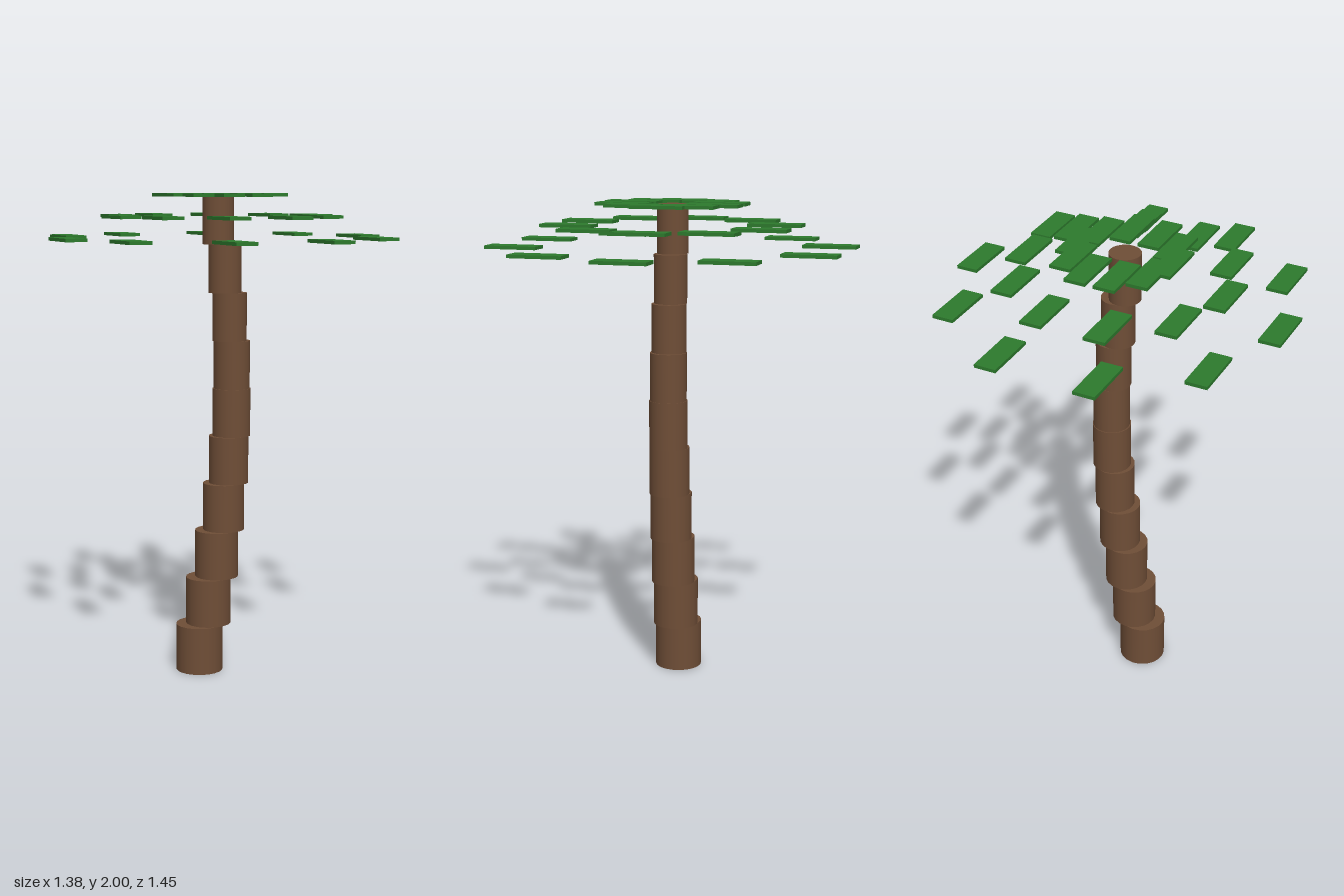
import * as THREE from 'three';

const SEGMENTS = 10;
const SEGMENT_HEIGHT = 0.1993;
const LEAVES_PER_RING = 10;

export function createModel() {
  const bark = new THREE.MeshStandardMaterial({ color: 0x6f4e37 });
  bark.name = 'bark brown';
  const green = new THREE.MeshStandardMaterial({ color: 0x2d7a2d });
  green.name = 'leaf green';

  const palm = new THREE.Group();
  palm.name = 'palmTree';

  // Trunk: straight cylinders, each a little thinner, following a sine bend
  const trunk = new THREE.Group();
  trunk.name = 'trunk';
  for (let i = 0; i < SEGMENTS; i++) {
    const radius = 0.0985 - i * 0.0038;
    const segment = new THREE.Mesh(
      new THREE.CylinderGeometry(radius, radius, SEGMENT_HEIGHT, 20), bark);
    segment.name = 'trunkSegment';
    segment.position.set(
      -0.09 + 0.149 * Math.sin(i * 0.28), (i + 0.5) * SEGMENT_HEIGHT, 0);
    trunk.add(segment);
  }
  palm.add(trunk);

  // Crown: three rings of flat leaves, stepping outwards and down
  const crown = new THREE.Group();
  crown.name = 'crown';
  const leafGeometry = new THREE.BoxGeometry(0.0885, 0.0134, 0.222);
  for (let ring = 0; ring < 3; ring++) {
    const radius = 0.197 + ring * 0.2245;
    for (let i = 0; i < LEAVES_PER_RING; i++) {
      const angle = (i / LEAVES_PER_RING) * Math.PI * 2;
      const leaf = new THREE.Mesh(leafGeometry, green);
      leaf.name = 'leaf';
      leaf.position.set(
        -0.002 + radius * Math.cos(angle), 1.9933 - ring * 0.0865, radius * Math.sin(angle));
      crown.add(leaf);
    }
  }
  palm.add(crown);

  return palm;
}
